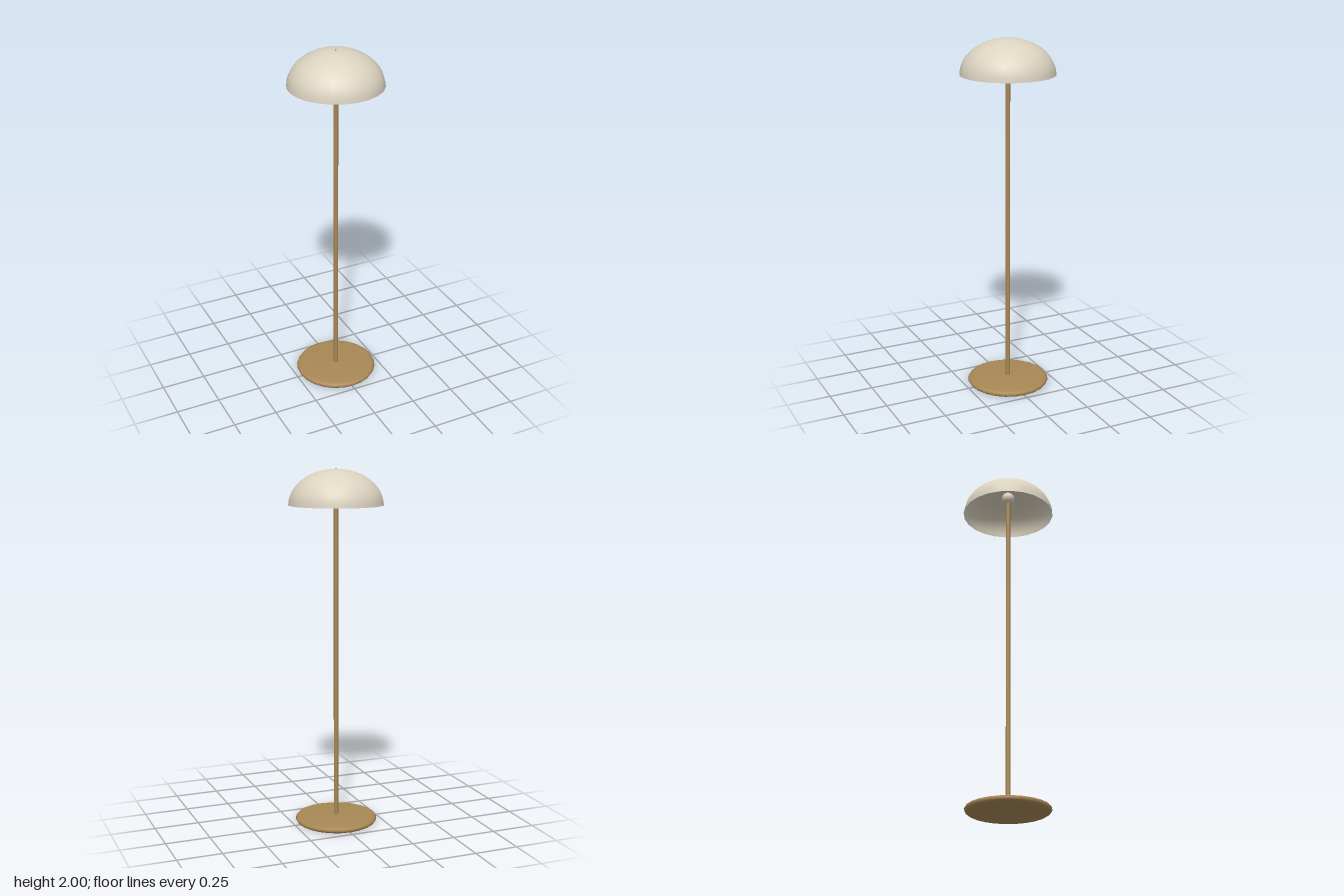
import * as THREE from 'three';

const brass = new THREE.MeshStandardMaterial({ name: 'brass', color: 0xa98855 });
const cream = new THREE.MeshStandardMaterial({ name: 'cream', color: 0xdcd3c0, side: THREE.DoubleSide });

const SEGMENTS = 24;

function lathe(points, material, name) {
  const profile = points.map(([r, y]) => new THREE.Vector2(r, y));
  const mesh = new THREE.Mesh(new THREE.LatheGeometry(profile, SEGMENTS), material);
  mesh.name = name;
  return mesh;
}

export function createModel() {
  const lamp = new THREE.Group();
  lamp.name = 'floorLamp';

  // Disc foot with a rounded rim and a slightly raised middle
  lamp.add(lathe([
    [0.216, 0], [0.226, 0.006], [0.232, 0.017], [0.226, 0.027], [0.208, 0.033],
    [0.09, 0.037], [0, 0.038],
  ], brass, 'base'));
  const underside = new THREE.Mesh(new THREE.CircleGeometry(0.216, SEGMENTS), brass);
  underside.name = 'baseUnderside';
  underside.rotation.x = Math.PI / 2;
  lamp.add(underside);

  // Slim upright
  const pole = new THREE.Mesh(new THREE.CylinderGeometry(0.013, 0.013, 1.86, 16), brass);
  pole.name = 'pole';
  pole.position.y = 0.96;
  lamp.add(pole);

  // Bulb at the top of the pole
  const bulb = new THREE.Mesh(new THREE.SphereGeometry(0.037, 20, 14), cream);
  bulb.name = 'bulb';
  bulb.position.y = 1.916;
  lamp.add(bulb);

  // Open dome shade with a pinhole at the crown
  const dome = [[0.262, 1.805]];
  const steps = 16;
  for (let i = 0; i <= steps; i++) {
    const a = 0.06 + (i / steps) * (Math.PI / 2 - 0.06 - 0.02);
    dome.push([0.261 * Math.cos(a), 1.805 + 0.195 * Math.sin(a)]);
  }
  lamp.add(lathe(dome, cream, 'shade'));

  return lamp;
}
